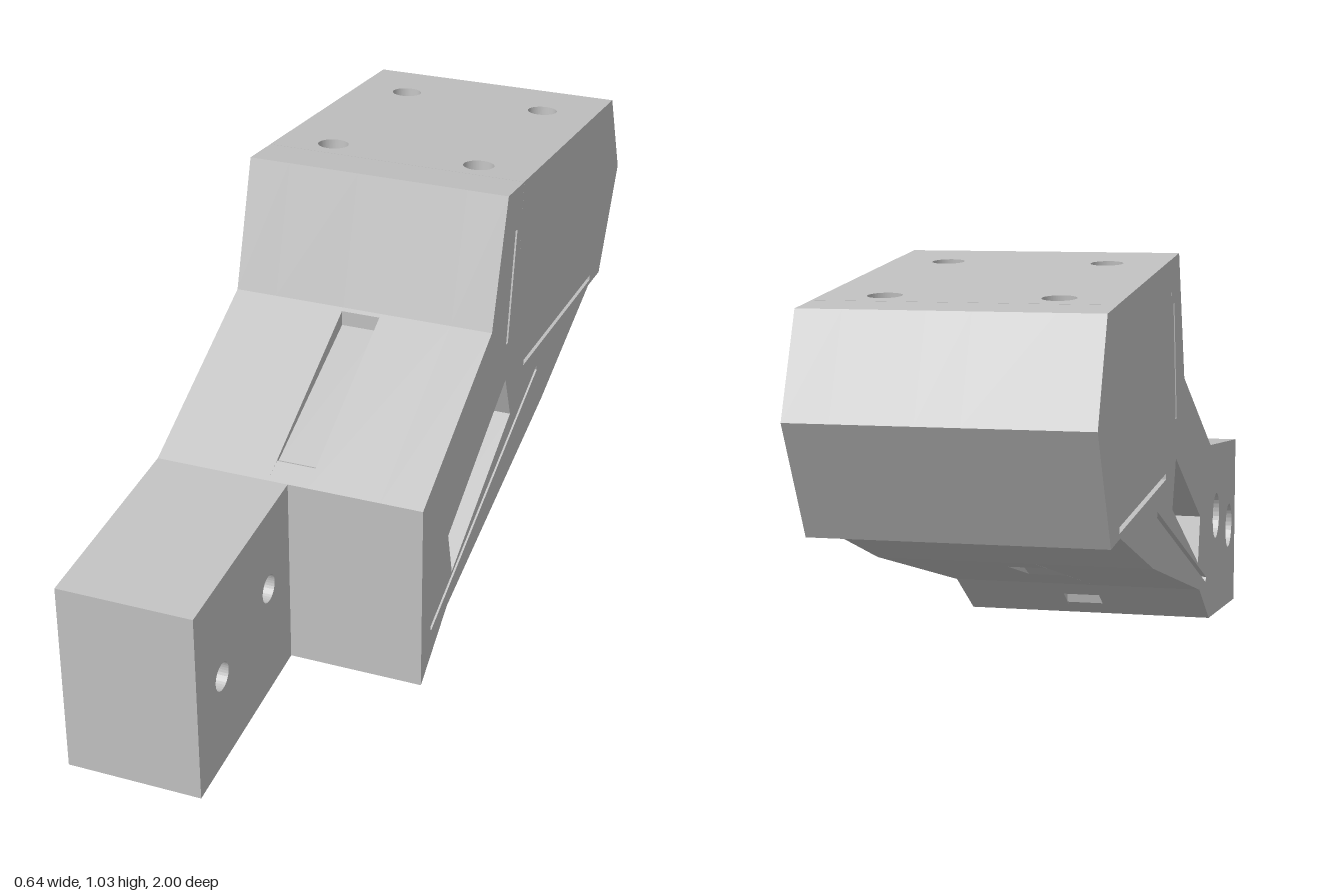
import * as THREE from 'three';

// All outlines are [z, y] pairs seen from the side.
const front = [[0.51, 0.51], [0.51, 0.05]];
const underside = [[0.34, 0.16], [-0.36, 0.35], [-0.76, 0.49]];
const rear = [[-0.86, 0.485], [-1, 0.74], [-0.905, 0.96]];
const topNotch = [[-0.8, 0.969], [-0.785, 0.79], [-0.135, 0.846], [-0.15, 1.025]];
const brow = [[-0.035, 1.035], [0.06, 0.733]];

const bodyOutline = [...front, ...underside, ...rear, ...topNotch, ...brow];

// Centre strip: same outline with shallow tapered strap channels
const centreOutline = [
  ...front,
  [0.45, 0.089], [0.44, 0.13], [0.405, 0.15], [0.40, 0.121],
  underside[0],
  [0, 0.252], [-0.22, 0.36], [-0.23, 0.314],
  ...underside.slice(1), ...rear, ...topNotch, ...brow,
  [0.07, 0.728], [0.07, 0.692], [0.45, 0.53], [0.46, 0.534],
];

const tongueOutline = [[0.51, 0.05], [0.51, 0.51], [1, 0.46], [1, 0]];
const windowOutline = [[0.34, 0.35], [-0.055, 0.555], [-0.1, 0.44], [0.31, 0.236]];

// Narrow rectangle between two points
function slot(a, b, width = 0.014) {
  const dz = b[0] - a[0], dy = b[1] - a[1];
  const k = width / 2 / Math.hypot(dz, dy);
  const nz = -dy * k, ny = dz * k;
  return [
    [a[0] + nz, a[1] + ny], [b[0] + nz, b[1] + ny],
    [b[0] - nz, b[1] - ny], [a[0] - nz, a[1] - ny],
  ];
}

function circle(z, y, r, n = 32) {
  return Array.from({ length: n }, (_, i) => {
    const t = (i / n) * Math.PI * 2;
    return [z + r * Math.cos(t), y + r * Math.sin(t)];
  });
}

const toVectors = (pts) => pts.map(([z, y]) => new THREE.Vector2(-z, y));

export function createModel() {
  const group = new THREE.Group();
  const grey = new THREE.MeshStandardMaterial({ color: 0xc0c0c0 });
  grey.name = 'light grey';

  function add(name, geometry) {
    const mesh = new THREE.Mesh(geometry, grey);
    mesh.name = name;
    group.add(mesh);
    return mesh;
  }

  // Side outline extruded between two x positions
  function slice(name, outline, holes, x0, x1) {
    const shape = new THREE.Shape(toVectors(outline));
    shape.holes = holes.map((h) => new THREE.Path(toVectors(h)));
    const geo = new THREE.ExtrudeGeometry(shape, { depth: x1 - x0, bevelEnabled: false });
    geo.rotateY(Math.PI / 2);
    geo.translate(x0, 0, 0);
    return add(name, geo);
  }

  // Body: grooved outer layers, plain inner layers, channelled centre
  const grooves = [
    slot([-0.103, 0.923], [-0.057, 0.65]),
    slot([-0.195, 0.533], [-0.77, 0.508]),
    slot([0.45, 0.165], [-0.31, 0.463]),
  ];
  slice('rightSide', bodyOutline, [windowOutline, ...grooves], -0.32, -0.22);
  slice('rightCore', bodyOutline, [windowOutline], -0.22, -0.047);
  slice('strapCore', centreOutline, [windowOutline], -0.047, 0.047);
  slice('leftCore', bodyOutline, [windowOutline], 0.047, 0.22);
  slice('leftSide', bodyOutline, [windowOutline, ...grooves], 0.22, 0.32);

  // Half-width front tongue with counterbored bolt holes
  const bolts = [[0.875, 0.235], [0.625, 0.305]];
  const bores = (r) => bolts.map(([z, y]) => circle(z, y, r));
  slice('tongueOuter', tongueOutline, bores(0.06), -0.32, -0.2);
  slice('tongueInner', tongueOutline, bores(0.033), -0.2, 0);

  // Tilted mounting pad with four blind holes
  const length = Math.hypot(0.65, 0.056);
  const pad = new THREE.Shape();
  pad.moveTo(-0.32, 0).lineTo(0.32, 0).lineTo(0.32, length).lineTo(-0.32, length).closePath();
  for (const x of [-0.185, 0.185]) {
    for (const v of [0.07, 0.577]) {
      pad.holes.push(new THREE.Path().absarc(x, v, 0.037, 0, Math.PI * 2, true));
    }
  }
  const padGeo = new THREE.ExtrudeGeometry(pad, { depth: 0.18, bevelEnabled: false, curveSegments: 32 });
  padGeo.rotateX(-Math.PI / 2 - Math.atan2(0.056, 0.65));
  padGeo.translate(0, 0.846, -0.135);
  add('mountingPad', padGeo);

  return group;
}
